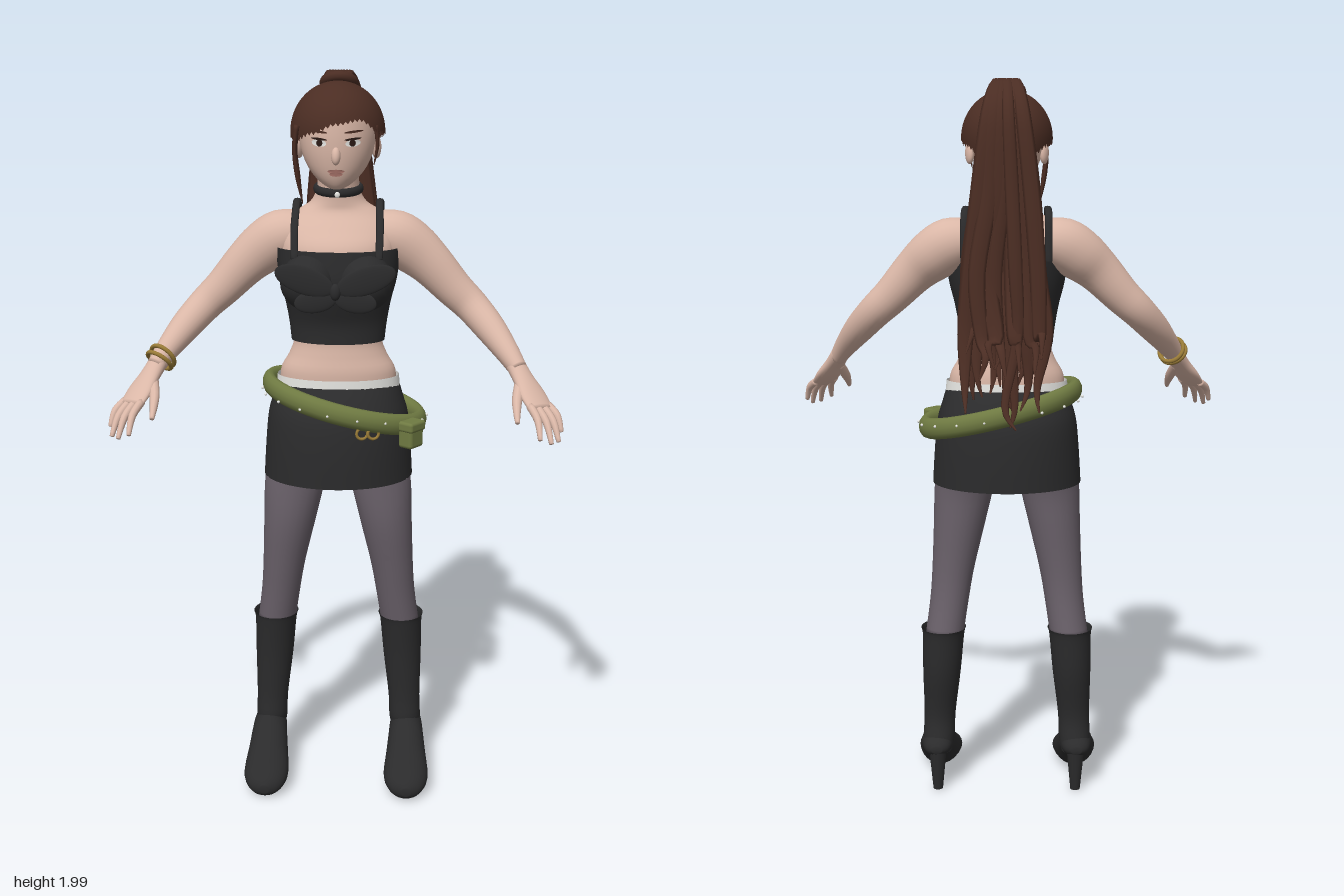
import * as THREE from 'three';
import { RoundedBoxGeometry } from 'three/addons/geometries/RoundedBoxGeometry.js';

const mat = (name, color, side = THREE.FrontSide) => {
  const m = new THREE.MeshStandardMaterial({ color, side });
  m.name = name;
  return m;
};
const V = (x, y, z) => new THREE.Vector3(x, y, z);
const X = V(1, 0, 0), Y = V(0, 1, 0), Z = V(0, 0, 1);

// Smoothly subdivide rows of [x, y, z, radiusA, radiusB]
function smooth(rows, sub) {
  const out = [], at = i => rows[Math.min(Math.max(i, 0), rows.length - 1)];
  for (let i = 0; i < rows.length - 1; i++) {
    for (let k = 0; k < sub; k++) {
      const t = k / sub, a = at(i - 1), b = at(i), c = at(i + 1), d = at(i + 2);
      out.push(b.map((p, j) => p + 0.5 * t * (c[j] - a[j] + t * (2 * a[j] - 5 * p + 4 * c[j] - d[j] + t * (3 * (p - c[j]) + d[j] - a[j])))));
    }
  }
  out.push(rows[rows.length - 1]);
  return out;
}

// Skin elliptical sections; frame 'y' or 'z' keeps rings upright, a vector lets them follow the path
function loft(rows, frame = 'y', { n = 24, sub = 4, cap = true } = {}) {
  const r = smooth(rows, sub), pos = [], idx = [], c = r.map(p => V(p[0], p[1], p[2]));
  const ring = (p, i, k) => {
    let u = X, v = frame === 'z' ? Y : Z;
    if (frame.isVector3) {
      const t = c[Math.min(i + 1, c.length - 1)].clone().sub(c[Math.max(i - 1, 0)]).normalize();
      u = t.clone().cross(frame).normalize();
      v = t.clone().cross(u);
    }
    for (let j = 0; j < n; j++) {
      const a = j / n * Math.PI * 2;
      const q = c[i].clone().addScaledVector(u, Math.cos(a) * Math.max(p[3], 0.0008) * k).addScaledVector(v, Math.sin(a) * Math.max(p[4], 0.0008) * k);
      pos.push(q.x, q.y, q.z);
    }
  };
  if (cap) ring(r[0], 0, 0.001);
  r.forEach((p, i) => ring(p, i, 1));
  if (cap) ring(r[r.length - 1], r.length - 1, 0.001);
  const flip = frame === 'y' ? c[c.length - 1].y > c[0].y : frame === 'z' ? c[c.length - 1].z < c[0].z : false;
  for (let i = 0; i < pos.length / 3 / n - 1; i++) for (let j = 0; j < n; j++) {
    const a = i * n + j, b = i * n + (j + 1) % n, d = a + n, e = b + n;
    if (flip) idx.push(a, d, b, b, d, e); else idx.push(a, b, d, b, e, d);
  }
  const g = new THREE.BufferGeometry();
  g.setAttribute('position', new THREE.Float32BufferAttribute(pos, 3));
  g.setIndex(idx);
  g.computeVertexNormals();
  return g;
}

const HEAD = [[0, 1.7, 0.1, 0.015, 0.02], [0, 1.71, 0.09, 0.035, 0.04], [0, 1.73, 0.08, 0.058, 0.06], [0, 1.76, 0.065, 0.08, 0.083],
  [0, 1.8, 0.055, 0.095, 0.098], [0, 1.85, 0.045, 0.102, 0.108], [0, 1.9, 0.04, 0.095, 0.105], [0, 1.935, 0.04, 0.06, 0.07]];
function faceZ(x, y) {
  let i = 0;
  while (i < HEAD.length - 2 && HEAD[i + 1][1] < y) i++;
  const a = HEAD[i], b = HEAD[i + 1], t = (y - a[1]) / (b[1] - a[1]);
  const [, , cz, rx, rz] = a.map((p, j) => p + (b[j] - p) * t);
  return cz + rz * Math.sqrt(Math.max(0, 1 - (x / rx) ** 2));
}

export function createModel() {
  const root = new THREE.Group();
  root.name = 'woman';
  const skin = mat('skin', 0xdab7a7), hair = mat('hair', 0x4b2d23, THREE.DoubleSide), black = mat('black cloth', 0x2b2b2c, THREE.DoubleSide);
  const stocking = mat('stocking', 0x6a616a), olive = mat('olive belt', 0x6f7a42), white = mat('white', 0xe6e6e2, THREE.DoubleSide);
  const gold = mat('gold', 0x9a7c38), lips = mat('lips', 0xb27a70), dark = mat('dark eye', 0x2a1a15);
  const add = (name, geo, m, p = [0, 0, 0], rot = [0, 0, 0], s = [1, 1, 1]) => {
    const o = new THREE.Mesh(geo, m);
    o.name = name;
    o.position.set(...p); o.rotation.set(...rot); o.scale.set(...s);
    root.add(o);
    return o;
  };
  const ball = new THREE.SphereGeometry(1, 24, 16);
  let seed = 7;
  const rnd = () => (seed = (seed * 16807) % 2147483647) / 2147483647;

  // Body and head
  add('torso', loft([[0, 1.12, 0.01, 0.155, 0.088], [0, 1.2, 0.015, 0.157, 0.09], [0, 1.25, 0.018, 0.132, 0.08], [0, 1.3, 0.022, 0.118, 0.073],
    [0, 1.4, 0.022, 0.13, 0.09], [0, 1.47, 0.02, 0.148, 0.105], [0, 1.54, 0.013, 0.158, 0.108], [0, 1.59, 0, 0.15, 0.088],
    [0, 1.63, -0.01, 0.112, 0.068], [0, 1.655, -0.006, 0.075, 0.06], [0, 1.69, 0, 0.057, 0.057], [0, 1.74, 0.012, 0.055, 0.056], [0, 1.78, 0.02, 0.055, 0.056]], 'y', { n: 36 }), skin);
  add('head', loft(HEAD, 'y', { n: 36 }), skin);
  add('nose', ball, skin, [0, 1.787, 0.153], [-0.25, 0, 0], [0.012, 0.023, 0.014]);

  // Thin facial patches that follow the face
  const patch = (name, x, y, rx, ry, m, off, tilt = 0) => {
    const g = new THREE.CircleGeometry(1, 20).scale(rx, ry, 1).rotateZ(tilt).translate(x, y, 0), p = g.attributes.position;
    for (let i = 0; i < p.count; i++) p.setZ(i, faceZ(p.getX(i), p.getY(i)) + off);
    g.computeVertexNormals();
    add(name, g, m);
  };
  patch('upperLip', 0, 1.748, 0.022, 0.005, lips, 0.004);
  patch('lowerLip', 0, 1.741, 0.017, 0.006, lips, 0.005);

  for (const s of [1, -1]) {
    patch('eyeWhite', s * 0.043, 1.819, 0.019, 0.009, white, 0.005, s * 0.1);
    patch('iris', s * 0.042, 1.819, 0.008, 0.0085, dark, 0.007);
    patch('upperLash', s * 0.043, 1.829, 0.021, 0.003, dark, 0.007, s * 0.1);
    patch('eyebrow', s * 0.045, 1.847, 0.024, 0.003, hair, 0.006, s * 0.1);
    add('ear', ball, skin, [s * 0.1, 1.803, 0.045], [0.2, s * 0.35, 0], [0.012, 0.032, 0.02]);
  }

  // Hair cap with a swept lower edge, listed every 30 degrees from the front towards +x
  const edge = [1.862, 1.872, 1.838, 1.832, 1.815, 1.785, 1.77, 1.785, 1.815, 1.825, 1.815, 1.838];
  const cap = new THREE.SphereGeometry(1, 60, 24), cp = cap.attributes.position, uv = cap.attributes.uv;
  for (let i = 0; i < cp.count; i++) {
    const a = uv.getX(i) * 12, k = Math.floor(a) % 12, f = a - Math.floor(a);
    const e = edge[k] + (edge[(k + 1) % 12] - edge[k]) * f * f * (3 - 2 * f);
    const low = Math.acos(Math.max(-1, (e - 1.84) / 0.127)), ph = (1 - uv.getY(i)) * low, az = a / 12 * Math.PI * 2;
    const w = ph > Math.PI / 2 ? 0.35 + 0.65 * Math.sin(ph) : Math.sin(ph);
    cp.setXYZ(i, Math.sin(az) * w * 0.123, 1.84 + 0.127 * Math.cos(ph), 0.035 + Math.cos(az) * w * 0.138);
  }
  // Azimuth runs opposite to the sphere's own, so the outward side follows the index order
  cap.computeVertexNormals();
  add('hairCap', cap, hair);
  add('sideLock', loft([[-0.1, 1.86, 0.115, 0.008, 0.02], [-0.107, 1.8, 0.11, 0.007, 0.02], [-0.1, 1.73, 0.105, 0.007, 0.015], [-0.088, 1.66, 0.1, 0.001, 0.002]], Z, { n: 8 }), hair);
  add('shortLock', loft([[0.1, 1.86, 0.1, 0.006, 0.012], [0.104, 1.81, 0.1, 0.005, 0.009], [0.095, 1.76, 0.1, 0.001, 0.002]], Z, { n: 8 }), hair);

  // Ponytail of tapering ribbons
  add('hairTie', new THREE.TorusGeometry(0.038, 0.014, 10, 28), hair, [0, 1.957, -0.045], [1.05, 0, 0]);
  for (let i = 0; i < 24; i++) {
    const f = (i % 8) / 3.5 - 1, g = Math.floor(i / 8) / 2 * 0.8 + rnd() * 0.2, end = 1.1 + rnd() * 0.2;
    const w = () => (rnd() - 0.5) * 0.035, wide = 0.8 + rnd() * 0.5;
    add('ponytailStrand', loft([[0.02 * f, 1.94, -0.04, 0.008, 0.01], [0.026 * f, 1.982, -0.07 - 0.02 * g, 0.008, 0.013],
      [0.042 * f, 1.9, -0.11 - 0.08 * g, 0.008, 0.018 * wide], [0.06 * f + w() * 0.5, 1.7, -0.115 - 0.1 * g, 0.008, 0.021 * wide],
      [0.08 * f + w(), 1.5, -0.115 - 0.1 * g + w(), 0.008, 0.021 * wide], [0.092 * f + w(), 1.34, -0.13 - 0.11 * g + w(), 0.007, 0.017 * wide],
      [0.095 * f + w(), end + 0.06, -0.155 - 0.11 * g + w(), 0.005, 0.01], [0.1 * f + w(), end, -0.175 - 0.13 * g, 0.001, 0.002]], X, { n: 8 }), hair);
  }

  // Choker
  add('choker', new THREE.TorusGeometry(0.058, 0.009, 10, 36), black, [0, 1.69, 0.001], [Math.PI / 2 + 0.12, 0, 0], [1, 1, 1.3]);
  add('chokerCharm', ball, white, [0, 1.68, 0.07], [0, 0, 0], [0.007, 0.008, 0.004]);

  // Cropped top, straps and bow
  add('croppedTop', loft([[0, 1.288, 0.024, 0.126, 0.08], [0, 1.34, 0.022, 0.132, 0.086], [0, 1.4, 0.024, 0.143, 0.106], [0, 1.46, 0.026, 0.158, 0.122],
    [0, 1.54, 0.018, 0.168, 0.12]], 'y', { n: 40, cap: false }), black);
  for (const s of [1, -1]) {
    add('bustCup', ball, black, [s * 0.073, 1.457, 0.103], [0, s * 0.2, 0], [0.076, 0.076, 0.08]);
    add('strap', loft([[s * 0.11, 1.52, 0.118, 0.005, 0.01], [s * 0.112, 1.59, 0.085, 0.005, 0.01], [s * 0.11, 1.645, 0.035, 0.005, 0.01],
      [s * 0.11, 1.657, -0.015, 0.005, 0.01], [s * 0.112, 1.63, -0.07, 0.005, 0.01], [s * 0.112, 1.52, -0.085, 0.005, 0.01]], X, { n: 8 }), black);
    add('bowLoop', ball, black, [s * 0.079, 1.477, 0.194], [0, 0, s * 0.33], [0.08, 0.036, 0.007]);
    add('bowTail', ball, black, [s * 0.052, 1.422, 0.19], [0, 0, s * -0.15], [0.055, 0.03, 0.007]);
  }
  add('bowKnot', ball, black, [0, 1.447, 0.193], [0, 0, 0], [0.014, 0.022, 0.012]);

  // Skirt, waistband and hips
  add('skirt', loft([[0, 1.17, 0.012, 0.166, 0.1], [0, 1.13, 0.01, 0.178, 0.13], [0, 1.08, 0.008, 0.192, 0.156], [0, 1, 0.008, 0.2, 0.166], [0, 0.905, 0.008, 0.206, 0.168]], 'y', { n: 44, cap: false }), black);
  add('waistband', loft([[0, 1.15, 0.012, 0.17, 0.102], [0, 1.19, 0.013, 0.166, 0.1]], 'y', { n: 40, cap: false }), white);
  add('hips', ball, stocking, [0, 1, 0.012], [0, 0, 0], [0.172, 0.105, 0.12]);

  // Slanted belt with studs, pouch and rings
  const beltPoint = (a, k = 1) => V(0.018 + Math.cos(a) * 0.206 * k, 1.108 - Math.cos(a) * 0.036, 0.006 + Math.sin(a) * 0.168 * k);
  const beltPath = new THREE.CatmullRomCurve3(Array.from({ length: 24 }, (_, i) => beltPoint(i / 12 * Math.PI)), true);
  add('belt', new THREE.TubeGeometry(beltPath, 72, 0.02, 12, true).translate(0, -1.108, 0).scale(1, 1.45, 1), olive, [0, 1.113, 0]);
  for (let i = 0; i < 18; i++) add('beltStud', ball, white, beltPoint(i / 9 * Math.PI, 1.1).toArray(), [0, 0, 0], [0.004, 0.004, 0.004]);
  add('pouch', new RoundedBoxGeometry(0.058, 0.068, 0.046, 3, 0.01), olive, [0.2, 1.05, 0.13], [0, 0.9, 0]);
  add('pouchFlap', new RoundedBoxGeometry(0.064, 0.028, 0.052, 3, 0.008), olive, [0.201, 1.076, 0.131], [0, 0.9, 0]);
  for (const x of [0.07, 0.1]) add('beltRing', new THREE.TorusGeometry(0.015, 0.004, 8, 18), gold, [x, 1.063, 0.178 - x * 0.1], [0, 0.3, 0]);

  for (const s of [1, -1]) {
    const side = rows => rows.map(r => [r[0] * s, ...r.slice(1)]);
    // Legs
    add('leg', loft(side([[0.1, 1.02, 0.012, 0.08, 0.1], [0.118, 0.9, 0.033, 0.084, 0.08], [0.134, 0.78, 0.036, 0.073, 0.075],
      [0.152, 0.65, 0.028, 0.06, 0.063], [0.163, 0.56, 0.018, 0.055, 0.058], [0.177, 0.46, 0.003, 0.054, 0.058]])), stocking);
    // High-heeled boots
    add('bootShaft', loft(side([[0.18, 0.478, 0, 0.064, 0.068], [0.181, 0.455, 0, 0.059, 0.064], [0.186, 0.35, -0.003, 0.054, 0.056],
      [0.193, 0.22, 0.006, 0.045, 0.042], [0.196, 0.15, 0.003, 0.045, 0.048], [0.198, 0.11, -0.012, 0.04, 0.04]]), 'y', { cap: false }), black);
    const foot = [[-0.064, 0.115, 0.135, 0.014], [-0.045, 0.1, 0.155, 0.036], [0, 0.08, 0.166, 0.046], [0.05, 0.045, 0.163, 0.051], [0.1, 0.012, 0.133, 0.057],
      [0.16, 0, 0.1, 0.063], [0.2, 0, 0.08, 0.058], [0.23, 0.004, 0.06, 0.04], [0.244, 0.018, 0.042, 0.012]];
    add('bootFoot', loft(foot.map(([z, lo, hi, w]) => [s * 0.2, (lo + hi) / 2, z, w, (hi - lo) / 2]), 'z'), black);
    add('bootHeel', new THREE.CylinderGeometry(0.026, 0.014, 0.125, 14), black, [s * 0.198, 0.0625, -0.038]);

    // Arms
    add('arm', loft(side([[0.09, 1.568, -0.01, 0.06, 0.065], [0.15, 1.56, -0.012, 0.072, 0.072], [0.2, 1.53, -0.01, 0.07, 0.066], [0.25, 1.488, -0.002, 0.06, 0.052],
      [0.31, 1.425, 0.002, 0.051, 0.046], [0.36, 1.378, 0.012, 0.046, 0.044], [0.41, 1.325, 0.055, 0.041, 0.041], [0.455, 1.27, 0.11, 0.031, 0.032], [0.48, 1.235, 0.142, 0.024, 0.027]]), Z), skin);
    // Hands
    const across = V(0.8 * s, -0.1, -0.58);
    add('palm', loft(side([[0.472, 1.247, 0.132, 0.024, 0.027], [0.492, 1.215, 0.16, 0.02, 0.032], [0.515, 1.18, 0.19, 0.017, 0.042], [0.535, 1.15, 0.222, 0.012, 0.04]]), across), skin);
    [[-0.03, 0.527, 1.093, 0.312], [-0.01, 0.557, 1.08, 0.3], [0.011, 0.578, 1.079, 0.276], [0.031, 0.588, 1.095, 0.24]].forEach(([k, x, y, z]) => {
      const b = [0.53 + 0.8 * k, 1.157 - 0.1 * k, 0.212 - 0.58 * k], m = [(b[0] + x) / 2 + 0.006, (b[1] + y) / 2 + 0.008, (b[2] + z) / 2 + 0.004];
      add('finger', loft(side([[...b, 0.011, 0.011], [...m, 0.01, 0.01], [x, y, z, 0.006, 0.006]]), across, { n: 10 }), skin);
    });
    add('thumb', loft(side([[0.485, 1.21, 0.165, 0.014, 0.016], [0.473, 1.175, 0.215, 0.013, 0.014], [0.47, 1.15, 0.255, 0.01, 0.01], [0.47, 1.13, 0.285, 0.006, 0.006]]), across, { n: 10 }), skin);
  }

  // Pair of bangles on the right wrist
  const wristDir = V(-0.46, -0.6, 0.65).normalize();
  for (const k of [0, 0.017]) {
    const b = add('bangle', new THREE.TorusGeometry(0.036, 0.006, 8, 30), gold, [-0.463 - 0.46 * k, 1.258 - 0.6 * k, 0.12 + 0.65 * k]);
    b.quaternion.setFromUnitVectors(Z, wristDir);
    b.rotateX(k * 12 - 0.1);
  }
  return root;
}
